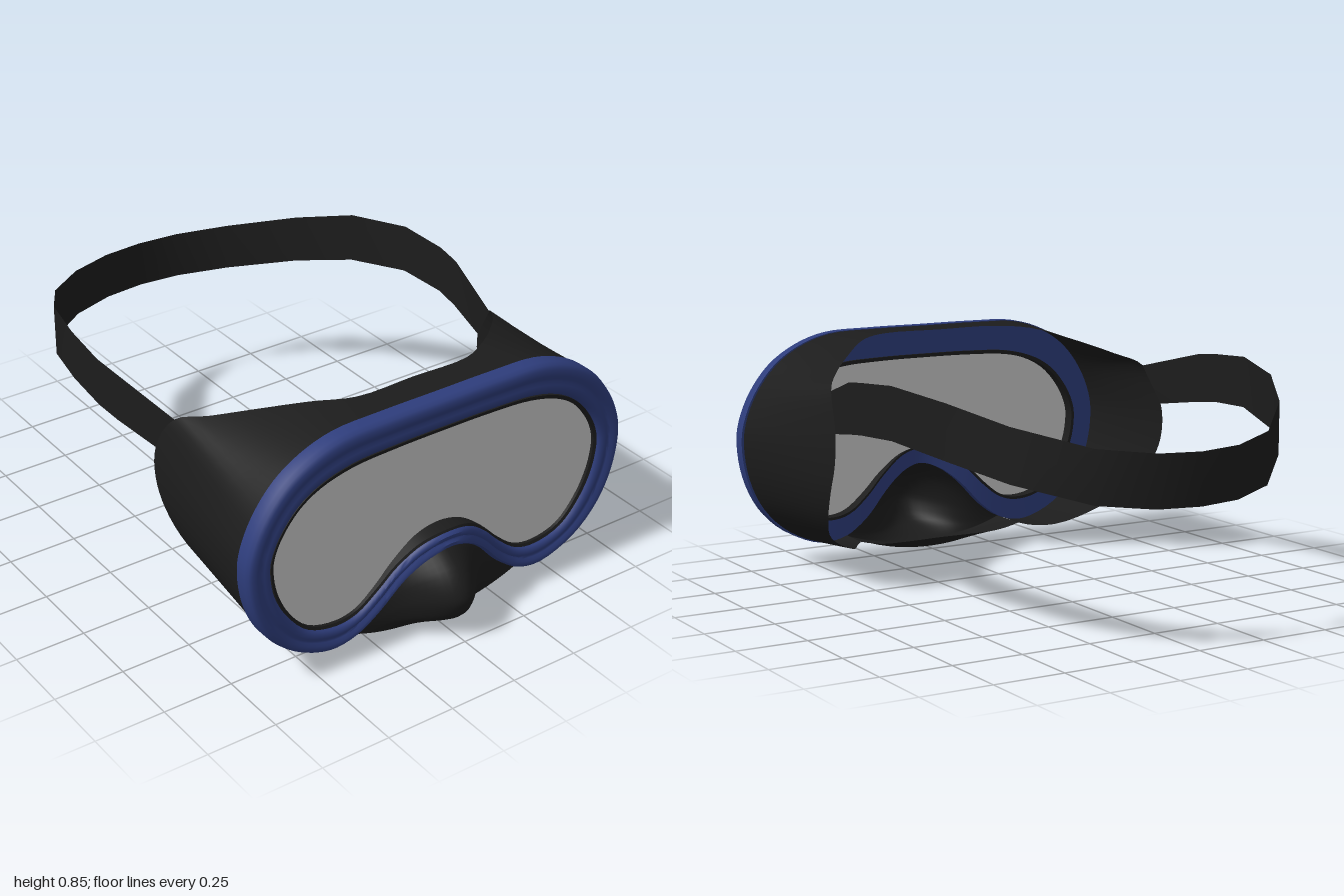
import * as THREE from 'three';
import { toCreasedNormals } from 'three/addons/utils/BufferGeometryUtils.js';

const V = (x, y, z) => new THREE.Vector3(x, y, z);
const lerp = THREE.MathUtils.lerp;

// Half outline from top centre to nose arch: outer x,y | inner x,y | rear skirt edge x,y,z
const HALF = [
  [0, .855, 0, .745, 0, .85, .68],
  [.22, .855, .2, .743, .22, .85, .68],
  [.4, .848, .36, .733, .35, .842, .61],
  [.52, .81, .48, .7, .47, .803, .5],
  [.62, .745, .56, .65, .58, .755, .38],
  [.7, .645, .625, .57, .645, .715, .28],
  [.745, .54, .655, .5, .67, .58, .2],
  [.755, .46, .66, .45, .675, .47, .2],
  [.735, .33, .645, .36, .67, .37, .245],
  [.68, .215, .6, .265, .64, .26, .33],
  [.58, .12, .52, .18, .57, .16, .45],
  [.44, .065, .41, .15, .43, .085, .56],
  [.34, .08, .33, .165, .34, .08, .68],
  [.25, .14, .25, .225, .25, .14, .68],
  [.16, .235, .18, .295, .16, .235, .68],
  [.08, .295, .09, .36, .08, .295, .68],
  [0, .32, 0, .38, 0, .32, .68],
];
const mirrorX = (r) => r.map((v, i) => (i === 0 || i === 2 || i === 4 ? -v : v));
const KEYS = [...HALF, ...HALF.slice(1, -1).reverse().map(mirrorX)];
const loop = (f) => new THREE.CatmullRomCurve3(KEYS.map(f), true);
const outer = loop((r) => V(r[0], r[1], 0));
const inner = loop((r) => V(r[2], r[3], 0));
const rear = loop((r) => V(r[4], r[5], r[6]));
const at = (curve, t) => curve.getPoint(((t % 1) + 1) % 1);

// Surface through nu x nv points given by a function of u, v in 0..1
function surface(nu, nv, fn) {
  const pos = [], idx = [];
  for (let i = 0; i <= nu; i++) {
    for (let j = 0; j <= nv; j++) pos.push(...fn(i / nu, j / nv, j).toArray());
  }
  for (let i = 0; i < nu; i++) {
    for (let j = 0; j < nv; j++) {
      const a = i * (nv + 1) + j, b = a + nv + 1;
      idx.push(a, b, a + 1, b, b + 1, a + 1);
    }
  }
  const g = new THREE.BufferGeometry();
  g.setAttribute('position', new THREE.Float32BufferAttribute(pos, 3));
  g.setIndex(idx);
  g.computeVertexNormals();
  return g;
}

// The rim bows forward over the nose
const bow = (p) => (p.y < .5 ? .045 * Math.exp(-((p.x / .16) ** 2)) : 0);

// Sweep a profile of [blend from outer to inner outline, z] around the outline
function rim(profile) {
  const g = surface(128, profile.length - 1, (u, v, j) => {
    const [t, z] = profile[j];
    const p = at(outer, u).lerp(at(inner, u), t);
    p.z = z + bow(p);
    return p;
  });
  return toCreasedNormals(g, .8);
}

export function createModel() {
  const group = new THREE.Group();
  const mat = (color) => new THREE.MeshStandardMaterial({ color, side: THREE.DoubleSide });
  const blue = mat(0x2e3d7c), black = mat(0x1c1c1c), grey = mat(0xcccccc);
  const add = (name, geometry, material) => {
    const m = new THREE.Mesh(geometry, material);
    m.name = name;
    group.add(m);
  };

  // Rounded frame with a shallow groove along its face
  add('frame', rim([
    [0, .8], [0, .842], [.05, .858], [.16, .866], [.35, .866], [.46, .859], [.54, .857],
    [.64, .861], [.8, .861], [.92, .853], [1, .835], [1, .8], [0, .8],
  ]), blue);

  // Dark seal holding the lens
  add('lensSeal', rim([[.98, .79], [.98, .85], [1.1, .846], [1.1, .79], [.98, .79]]), black);

  // Flat lens
  const lensShape = new THREE.Shape(Array.from({ length: 128 }, (_, i) => {
    const p = at(outer, i / 128).lerp(at(inner, i / 128), 1.06);
    return new THREE.Vector2(p.x, p.y);
  }));
  add('lens', new THREE.ShapeGeometry(lensShape).translate(0, 0, .835), grey);

  // Skirt from the frame to its scalloped rear edge, open at the nose
  add('skirt', surface(96, 6, (u, v) => {
    const t = lerp(-12, 12, u) / 32;
    const p = at(outer, t);
    p.set(p.x * .99, lerp(.46, p.y, .995), .81);
    return p.lerp(at(rear, t), v);
  }), black);

  // Nose pocket: profile of [height between bottom edge and arch, z on the centre line]
  const nose = new THREE.CatmullRomCurve3([
    [1, .86], [.93, .9], [.78, .96], [.55, 1], [.4, .992], [.24, .96],
    [.13, .9], [.04, .84], [0, .8], [.1, .72], [.18, .68],
  ].map(([h, z]) => V(0, h, z)));
  add('nosePocket', surface(32, 30, (u, v) => {
    const s = u * 2 - 1;
    const arch = at(outer, .5 - s * 4 / 32);
    const bottom = .003 + .077 * (arch.x / .34) ** 2;
    const p = nose.getPoint(v);
    const bulge = Math.exp(-((arch.x / .13) ** 2));
    const z = p.z > .84 ? .84 + (p.z - .84) * bulge : p.z;
    return V(arch.x, lerp(bottom, Math.max(arch.y, bottom), p.y), z);
  }), black);

  // Head strap: x, z, top and bottom height of each station
  const half = [
    [.705, .02, .782, .607], [.715, -.08, .793, .619], [.7, -.27, .805, .626],
    [.635, -.51, .775, .59], [.52, -.71, .718, .537], [.33, -.9, .66, .483],
    [.155, -.98, .642, .467], [0, -1, .638, .464],
  ].map(([x, z, top, bot]) => [V(x, top, z), V(x, bot, z)]);
  half.unshift([V(.645, .715, .285), V(.67, .58, .2)]);
  const flip = ([a, b]) => [V(-a.x, a.y, a.z), V(-b.x, b.y, b.z)];
  const strap = [...half, ...half.slice(0, -1).reverse().map(flip)];
  const n = strap.length - 1;
  add('headStrap', surface(n, 1, (u, v) => strap[Math.round(u * n)][v].clone()), black);

  return group;
}
